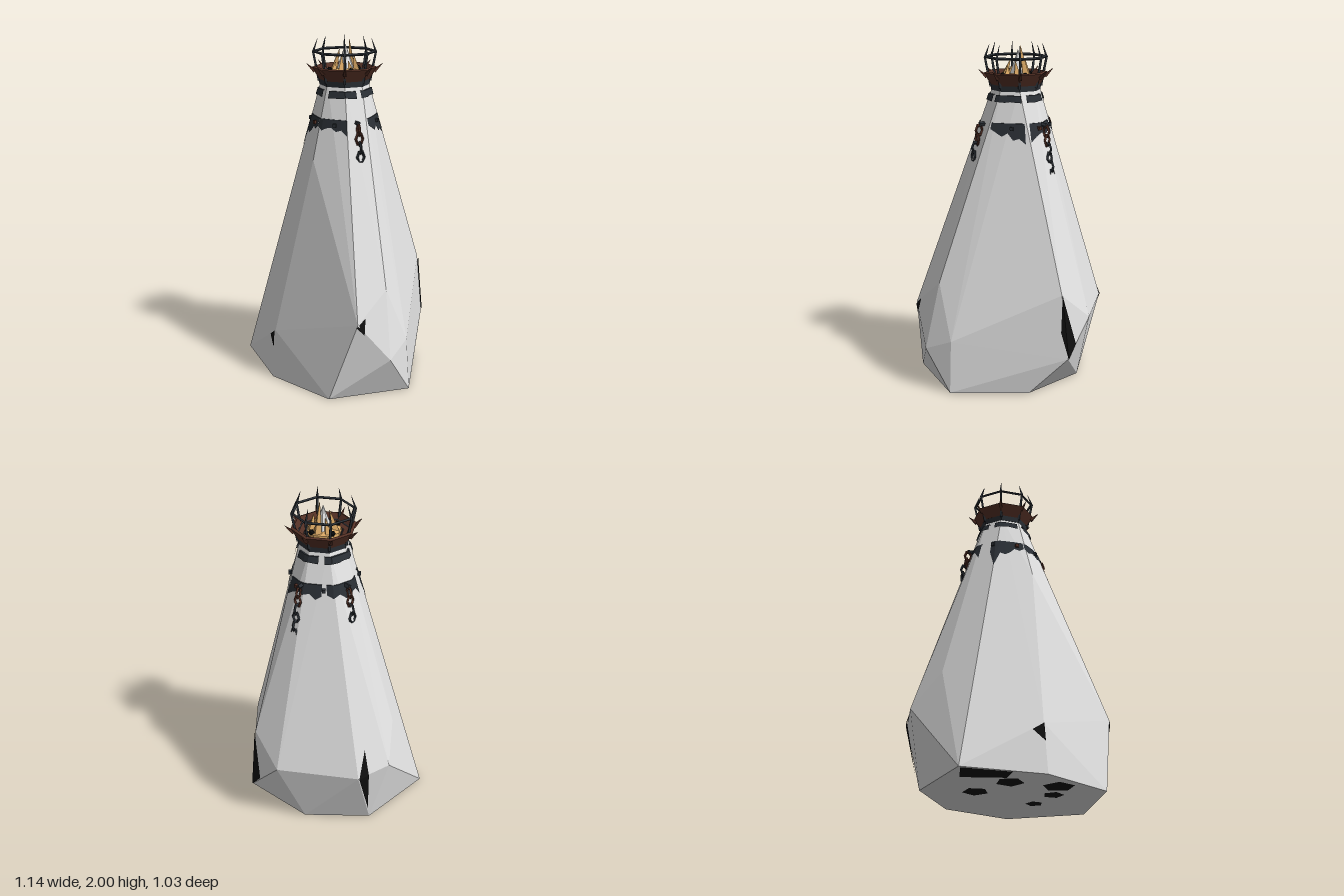
import * as THREE from 'three';
import { ConvexGeometry } from 'three/addons/geometries/ConvexGeometry.js';

const mat = (name, color, side = THREE.FrontSide) =>
  Object.assign(new THREE.MeshStandardMaterial({ color, flatShading: true, side }), { name });
const V = (x, y, z) => new THREE.Vector3(x, y, z);
const CX = -0.016, CZ = 0.012; // axis of the crown

export function createModel() {
  const stone = mat('pale stone', 0xe3e3e3);
  const iron = mat('dark iron', 0x2b3036, THREE.DoubleSide);
  const rust = mat('rusty iron', 0x553126);
  const amber = mat('amber crystal', 0xdcaa66);
  const black = mat('black crack', 0x101010, THREE.DoubleSide);

  const model = new THREE.Group();
  const add = (name, geo, material, parent = model) => {
    const m = new THREE.Mesh(geo, material);
    m.name = name;
    parent.add(m);
    return m;
  };
  // point on a circle around the crown axis
  const polar = (a, r, y) => V(CX + r * Math.cos(a), y, CZ + r * Math.sin(a));
  // rod or spike between two points
  const bar = (name, a, b, r0, r1, material, parent, sides = 4) => {
    const m = add(name, new THREE.CylinderGeometry(r1, r0, a.distanceTo(b), sides), material, parent);
    m.position.copy(a).lerp(b, 0.5);
    m.quaternion.setFromUnitVectors(V(0, 1, 0), b.clone().sub(a).normalize());
  };
  // triangle fan through a few points
  const fan = (pts) => {
    const tris = [];
    for (let i = 1; i < pts.length - 1; i++) tris.push(pts[0], pts[i], pts[i + 1]);
    const g = new THREE.BufferGeometry().setFromPoints(tris);
    g.computeVertexNormals();
    return g;
  };

  // Faceted boulder: ground outline, widest points, shoulders and neck
  const rockPts = [
    [0.56, 0, 0.06], [0.325, 0, 0.487], [-0.13, 0, 0.512], [-0.57, 0, 0.32],
    [-0.47, 0, -0.16], [-0.13, 0, -0.37], [0.28, 0, -0.31],
    [0.57, 0.24, 0.235], [0.54, 0.31, 0.065], [0.465, 0.47, 0.395], [0.49, 0.635, 0.19],
    [-0.575, 0.44, -0.125], [-0.47, 0.41, -0.305], [-0.49, 0.63, 0.05], [-0.447, 0.58, -0.22],
    [-0.03, 0.43, -0.518], [0.165, 0.22, -0.505], [0.165, 0.6, -0.457],
    [-0.13, 0.29, 0.485], [-0.01, 1.32, 0.275],
  ].map((p) => V(...p));
  for (let i = 0; i < 8; i++) rockPts.push(polar(i * Math.PI / 4, 0.138, 1.75));
  const rock = add('boulder', new ConvexGeometry(rockPts), stone);

  // point on the boulder at an angle and height, pushed out by d
  const ray = new THREE.Raycaster();
  const surface = (a, y, d) => {
    ray.set(polar(a, 2, y), V(-Math.cos(a), 0, -Math.sin(a)));
    const hit = ray.intersectObject(rock)[0];
    return polar(a, (hit ? 2 - hit.distance : 0.15) + d, y);
  };

  // Cracks lying on the sides, one per facet
  const cracks = [
    [[-0.2, 0.245, 0.48], [-0.13, 0.29, 0.48], [-0.13, 0.185, 0.49]],
    [[0.46, 0.455, 0.4], [0.478, 0.505, 0.346], [0.493, 0.41, 0.368]],
    [[-0.447, 0.58, -0.22], [-0.47, 0.41, -0.3], [-0.5, 0.42, -0.245]],
    [[-0.47, 0.41, -0.3], [-0.47, 0.1, -0.19], [-0.5, 0.42, -0.245]],
    [[0.165, 0.6, -0.457], [0.165, 0.22, -0.505], [0.1, 0.3, -0.51]],
    [[0.165, 0.6, -0.457], [0.185, 0.38, -0.47], [0.165, 0.22, -0.505]],
  ];
  cracks.forEach((c) => add('crack', fan(c.map(([x, y, z]) =>
    surface(Math.atan2(z - CZ, x - CX), y, 0.007))), black));

  // Dark pits underneath
  add('undersidePit', fan([[-0.3, 0.43], [-0.257, 0.33], [-0.457, 0.18], [-0.555, 0.315]]
    .map(([x, z]) => V(x, -0.002, z))), black);
  [[0.18, 0.05, 0.05], [0.06, 0.385, 0.09], [0.144, 0.25, 0.06], [-0.195, 0.28, 0.08], [-0.226, 0.025, 0.075]]
    .forEach(([x, z, r], i) => {
      const pit = add('undersidePit', new THREE.CircleGeometry(r, 5), black);
      pit.rotation.set(Math.PI / 2, 0, i);
      pit.position.set(x, -0.002, z);
    });

  // Iron plates wrapped around the neck; the lower edge follows a list of heights
  const plate = (name, a0, a1, top, lows, d) => {
    const pos = [], idx = [], n = lows.length - 1;
    lows.forEach((low, i) => {
      const a = a0 + (a1 - a0) * i / n;
      for (const p of [surface(a, low, d), surface(a, top, d), surface(a, top, 0)]) pos.push(...p.toArray());
      if (i < n) for (const p of [i * 3, i * 3 + 1]) idx.push(p, p + 1, p + 3, p + 1, p + 4, p + 3);
    });
    const g = new THREE.BufferGeometry();
    g.setAttribute('position', new THREE.Float32BufferAttribute(pos, 3));
    g.setIndex(idx);
    g.computeVertexNormals();
    add(name, g, iron);
  };
  const rad = Math.PI / 180;
  [[20, 80], [97, 150], [165, 235], [248, 300], [312, 370]].forEach(([a, b]) =>
    plate('upperCollarPlate', a * rad, b * rad, 1.71, [1.67, 1.672, 1.675, 1.67, 1.672, 1.67], 0.01));
  [
    [42, 92, [1.47, 1.5, 1.49, 1.51, 1.505, 1.49, 1.51]],
    [93, 152, [1.51, 1.49, 1.5, 1.47, 1.45, 1.46, 1.36, 1.47]],
    [172, 232, [1.45, 1.5, 1.49, 1.47, 1.5, 1.48, 1.5]],
    [240, 300, [1.49, 1.47, 1.5, 1.49, 1.5, 1.48, 1.45]],
    [308, 366, [1.44, 1.47, 1.46, 1.5, 1.48, 1.5, 1.52]],
  ].forEach(([a, b, lows]) => plate('lowerCollarPlate', a * rad, b * rad, 1.555, lows, 0.005));

  // Square bolts on the lower collar
  [61, 105, 148, 237, 283, 330].forEach((deg, i) => {
    const bolt = add('bolt', new THREE.BoxGeometry(0.02, 0.02, 0.02), i === 1 || i === 4 ? rust : iron);
    bolt.position.copy(surface(deg * rad, 1.525, 0.008));
    bolt.rotation.y = -deg * rad;
  });

  // Three hanging chains with alternating links, sinking towards the stone
  [[199, 4], [274, 6], [26, 4]].forEach(([deg, count]) => {
    const chain = new THREE.Group();
    chain.name = 'chain';
    model.add(chain);
    const a = deg * rad;
    bar('chainHook', surface(a, 1.54, 0), surface(a, 1.54, 0.035), 0.014, 0.014, iron, chain);
    for (let i = 0; i < count; i++) {
      const link = add('chainLink', new THREE.TorusGeometry(0.021, 0.008, 4, 6), i < 2 ? rust : iron, chain);
      link.scale.y = 1.5;
      link.position.copy(surface(a, 1.505 - i * 0.05, 0.022 - i * 0.006));
      link.rotation.y = -a + (i % 2 ? Math.PI / 2 : 0);
    }
  });

  // Crown: iron base, rusty octagonal bowl with iron lining, ring and posts
  const crown = new THREE.Group();
  crown.name = 'crown';
  model.add(crown);
  const lathe = (name, pts, material) => {
    const g = new THREE.LatheGeometry(pts.map((p) => new THREE.Vector2(...p)), 8);
    add(name, g, material, crown).position.set(CX, 0, CZ);
  };
  lathe('crownBase', [[0.12, 1.73], [0.146, 1.73], [0.15, 1.765], [0.13, 1.765]], iron);
  lathe('crownBowl', [[0.125, 1.758], [0.15, 1.762], [0.188, 1.83], [0.172, 1.836],
    [0.145, 1.8], [0.1, 1.79]], rust);
  [[0.176, 1.92], [0.148, 1.802], [0.112, 1.792]].forEach(([r, y], i) => {
    const ring = add(i ? 'bowlLining' : 'crownRing', new THREE.TorusGeometry(r, i ? 0.005 : 0.008, 4, 8), iron, crown);
    ring.rotation.x = Math.PI / 2;
    ring.position.set(CX, y, CZ);
  });
  for (let i = 0; i < 8; i++) {
    const a = i * Math.PI / 4;
    bar('crownPost', polar(a, 0.148, 1.75), polar(a, 0.182, 1.92), 0.01, 0.008, iron, crown);
    bar('crownTip', polar(a, 0.182, 1.915), polar(a, 0.155, 1.995), 0.009, 0.001, iron, crown);
    bar('rimSpike', polar(a, 0.172, 1.805), polar(a, 0.22, 1.85), 0.014, 0.001, rust, crown);
  }

  // Stone peak in the bowl, ringed by amber crust, shards and dark lumps
  bar('stonePeak', V(-0.02, 1.75, 0), V(-0.02, 1.96, 0), 0.075, 0.001, stone, crown, 7);
  lathe('amberCrust', [[0.104, 1.785], [0.1, 1.81], [0.05, 1.825]], amber);
  [[10, 1.87], [60, 1.9], [105, 1.86], [160, 1.93], [215, 1.9], [265, 1.985], [315, 1.9]].forEach(([deg, top], i) => {
    const a = deg * rad;
    bar('amberShard', polar(a, 0.072, 1.79), polar(a + 0.2, i % 2 ? 0.035 : 0.055, top), 0.03, 0.002, amber, crown);
  });
  [20, 117, 205, 286].forEach((deg) => {
    const lump = add('darkLump', new THREE.IcosahedronGeometry(0.018), black, crown);
    lump.position.copy(polar(deg * rad, 0.09, 1.818));
  });
  return model;
}
